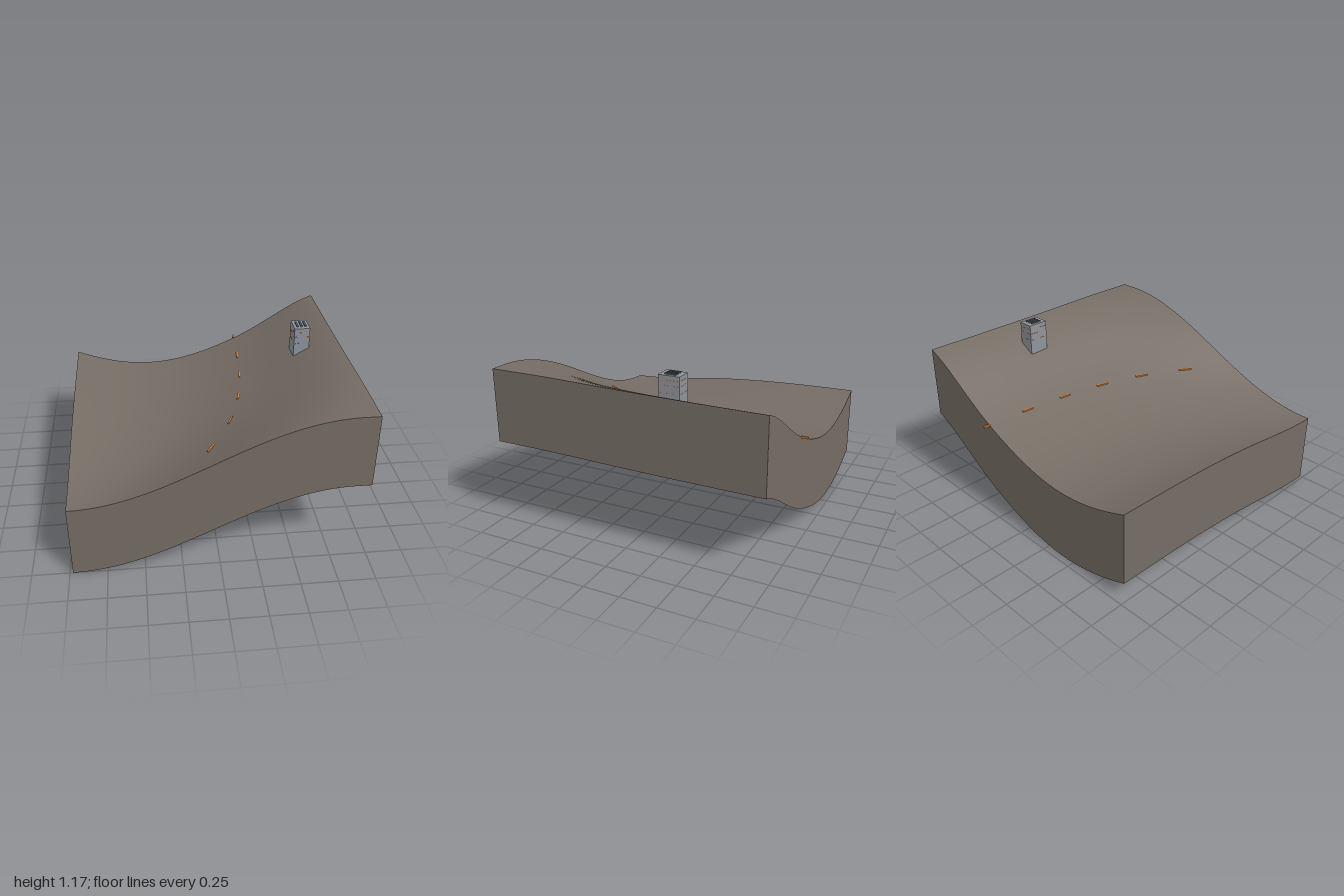
import * as THREE from 'three';

const X = 0.98, Z0 = -0.955, Z1 = 1, DEPTH = 0.52;

// Height of the hillside: a cosine slope whose foot shifts sideways toward the back
function height(x, z) {
  const s = Math.tanh(1.2 * (1 - z)) / 0.983;
  const taper = 1 - 0.43 * Math.max(0, (x - 0.3) / 0.68) ** 2;
  const t = Math.min(1, (x - 0.58 * s * taper + 0.98) / 1.86);
  return DEPTH + 0.289 * (1 - Math.cos(Math.PI * t));
}

// x at which the hillside reaches a given level
function contourX(level, z) {
  let a = -0.4, b = X;
  for (let i = 0; i < 30; i++) {
    const m = (a + b) / 2;
    if (height(m, z) < level) a = m; else b = m;
  }
  return a;
}

// Grid surface where place(u, v) returns [x, y, z]
function sheet(place, nu, nv) {
  const g = new THREE.PlaneGeometry(1, 1, nu, nv);
  const p = g.attributes.position;
  for (let i = 0; i < p.count; i++) p.setXYZ(i, ...place(p.getX(i) + 0.5, p.getY(i) + 0.5));
  g.computeVertexNormals();
  return g;
}

export function createModel() {
  const earth = new THREE.MeshStandardMaterial({ color: 0x756c64, side: THREE.DoubleSide });
  earth.name = 'earth';
  const paint = (name, color) => {
    const m = new THREE.MeshStandardMaterial({ color });
    m.name = name;
    return m;
  };
  const concrete = paint('concrete', 0x8c949c);
  const slotGrey = paint('slotGrey', 0x5c6268);
  const orange = paint('orange', 0xd5813a);

  const model = new THREE.Group();
  const add = (parent, name, geometry, material, x = 0, y = 0, z = 0) => {
    const mesh = new THREE.Mesh(geometry, material);
    mesh.name = name;
    mesh.position.set(x, y, z);
    parent.add(mesh);
    return mesh;
  };
  const box = (w, h, d) => new THREE.BoxGeometry(w, h, d);

  // Open-bottomed terrain block: top surface and four skirt walls
  const atX = (u) => -X + 2 * X * u;
  const atZ = (u) => Z0 + (Z1 - Z0) * u;
  const wall = (path) => sheet((u, v) => {
    const [x, z] = path(u);
    return [x, height(x, z) - DEPTH * (1 - v), z];
  }, 64, 1);
  add(model, 'hillside', sheet((u, v) => [atX(v), height(atX(v), atZ(u)), atZ(u)], 64, 64), earth);
  add(model, 'frontWall', wall((u) => [atX(u), Z1]), earth);
  add(model, 'backWall', wall((u) => [atX(1 - u), Z0]), earth);
  add(model, 'leftWall', wall((u) => [X, atZ(1 - u)]), earth);
  add(model, 'rightWall', wall((u) => [-X, atZ(u)]), earth);

  // Dashed marker line following a level contour
  const level = 0.715;
  for (let i = 0; i < 6; i++) {
    const za = -1 + i * 0.326, zb = za + (i ? 0.09 : 0.05);
    const a = new THREE.Vector3(contourX(level, za), level, za);
    const b = new THREE.Vector3(contourX(level, zb), level, zb);
    const dash = add(model, 'contourDash', box(0.013, 0.014, a.distanceTo(b)), orange);
    dash.position.copy(a).lerp(b, 0.5);
    dash.lookAt(b);
  }

  // Small block building, sunk into the slope
  const hut = new THREE.Group();
  hut.name = 'building';
  hut.position.set(0.73, 0, -0.222);
  model.add(hut);
  const w = 0.115, d = 0.15, top = 1.158, base = 0.93;
  add(hut, 'buildingBody', box(w, top - base, d), concrete, 0, (top + base) / 2, 0);
  for (const x of [-0.03, 0, 0.03]) {
    add(hut, 'roofVent', box(0.015, 0.009, 0.08), slotGrey, x, top + 0.0045, 0);
  }

  // Thin orange bands on every side
  for (const y of [1.125, 1.09, 1.04]) {
    for (const side of [-1, 1]) {
      add(hut, 'orangeBand', box(w - 0.02, 0.004, 0.002), orange, 0, y, side * d / 2);
      add(hut, 'orangeBand', box(0.002, 0.004, d - 0.02), orange, side * w / 2, y, 0);
    }
  }
  return model;
}
